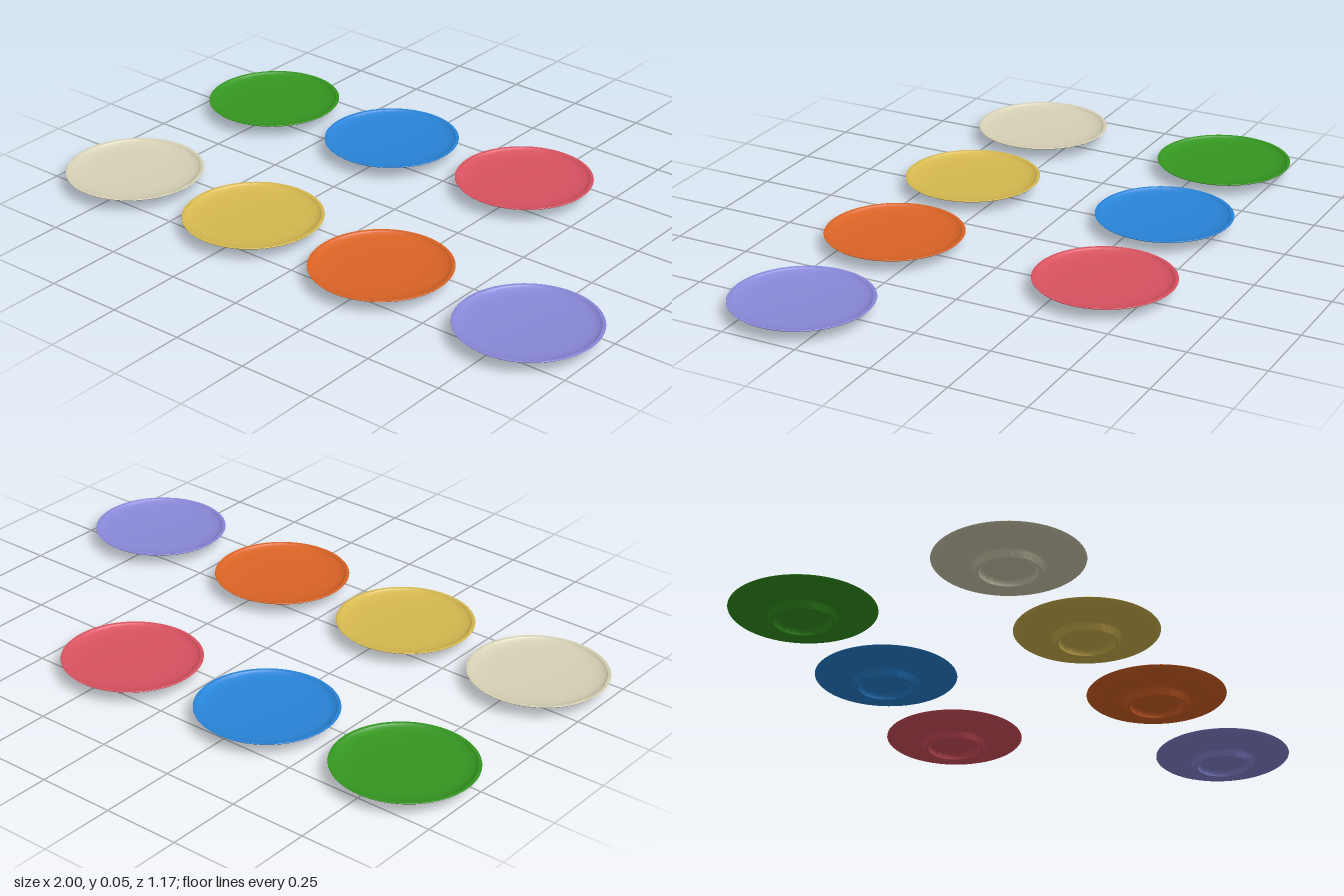
import * as THREE from 'three';
import { toCreasedNormals } from 'three/addons/utils/BufferGeometryUtils.js';

// Plate cross-section, from the underside centre round the foot and rim to the top centre
const PROFILE = [
  [0, 0.018], [0.076, 0.018], [0.081, 0.014], [0.085, 0.002], [0.088, 0],
  [0.095, 0], [0.098, 0.003], [0.103, 0.018], [0.108, 0.022],
  [0.135, 0.025], [0.165, 0.028], [0.19, 0.032], [0.21, 0.037], [0.219, 0.041],
  [0.222, 0.044], [0.221, 0.045], [0.211, 0.045], [0.208, 0.042],
  [0.2, 0.038], [0.185, 0.035], [0.16, 0.0325], [0.12, 0.031], [0, 0.03],
];

// name, x, z, colour
const PLATES = [
  ['creamPlate', -0.778, 0.365, 0xd6d1b5],
  ['yellowPlate', -0.27, 0.365, 0xd6b950],
  ['orangePlate', 0.239, 0.365, 0xdb6426],
  ['lavenderPlate', 0.778, 0.365, 0x8988d9],
  ['greenPlate', -0.778, -0.317, 0x359720],
  ['bluePlate', -0.273, -0.328, 0x2884d8],
  ['redPlate', 0.239, -0.365, 0xd95260],
];

export function createModel() {
  const group = new THREE.Group();
  group.name = 'plateSet';

  const points = PROFILE.map(([r, y]) => new THREE.Vector2(r, y));
  const geometry = toCreasedNormals(new THREE.LatheGeometry(points, 64), 0.6);

  for (const [name, x, z, color] of PLATES) {
    const plate = new THREE.Mesh(geometry, new THREE.MeshStandardMaterial({ color }));
    plate.name = name;
    plate.position.set(x, 0, z);
    group.add(plate);
  }
  return group;
}
